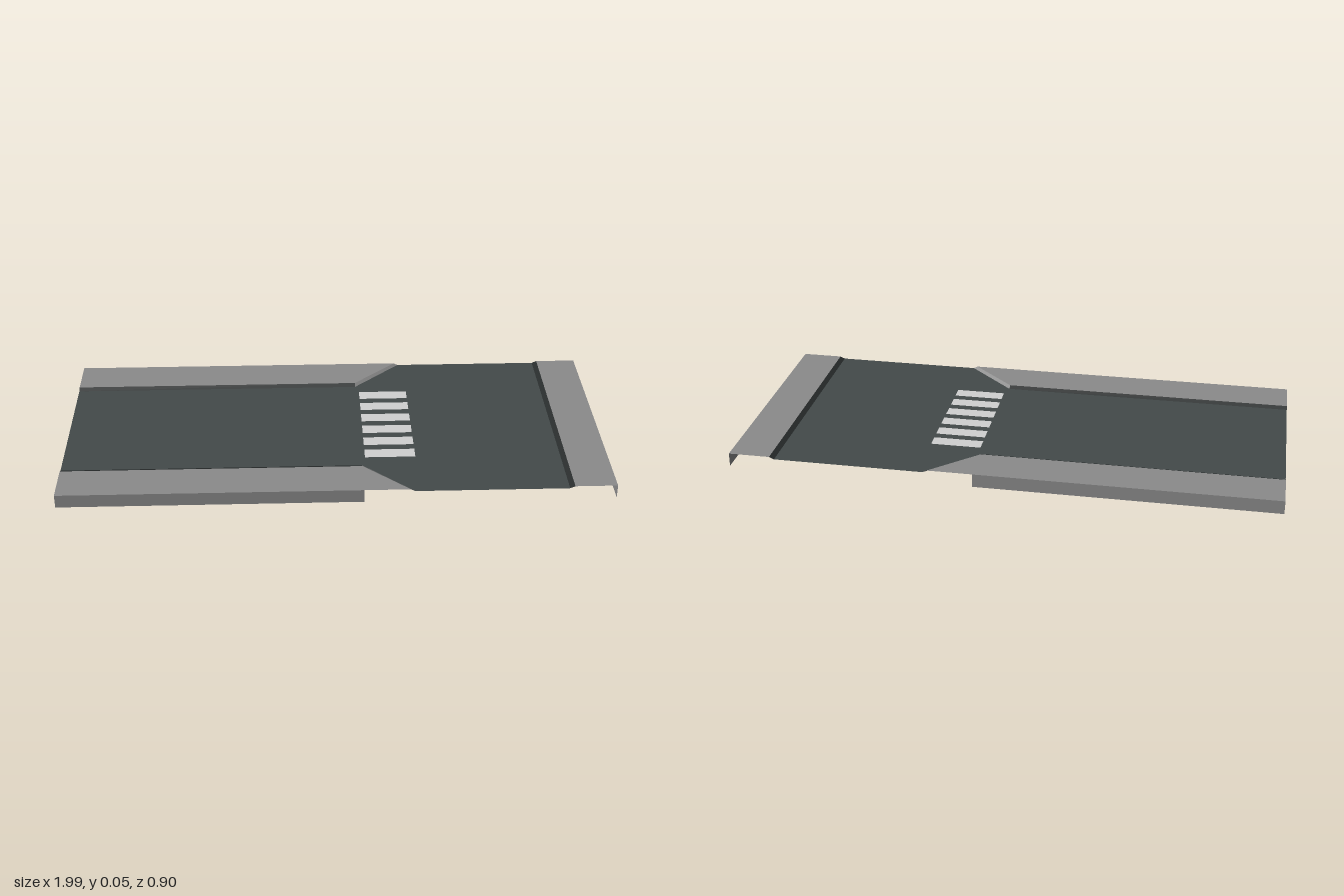
import * as THREE from 'three';

const mat = (name, color) => new THREE.MeshStandardMaterial({ name, color, side: THREE.DoubleSide });

const TOP = 0.05, ROAD = 0.042;          // pavement and road heights
const BACK = -1, FRONT = -0.1, MID = (BACK + FRONT) / 2;

export function createModel() {
  const asphalt = mat('asphalt', 0x434a4a);
  const concrete = mat('concrete', 0x8b8b8b);
  const curbDark = mat('dark curb', 0x282c2c);
  const paint = mat('white paint', 0xd0d0d0);
  const group = new THREE.Group();
  group.name = 'roadJunction';

  const add = (name, geometry, material) => {
    const mesh = new THREE.Mesh(geometry, material);
    mesh.name = name;
    group.add(mesh);
  };

  // Flat horizontal sheet from [x, z] corners
  const sheet = (name, corners, y, material) => {
    const shape = new THREE.Shape(corners.map(([x, z]) => new THREE.Vector2(x, -z)));
    add(name, new THREE.ShapeGeometry(shape).rotateX(-Math.PI / 2).translate(0, y, 0), material);
  };

  // Four-cornered face, corners in loop order
  const quad = (name, corners, material) => {
    const g = new THREE.BufferGeometry();
    g.setAttribute('position', new THREE.Float32BufferAttribute(corners.flat(), 3));
    g.setIndex([0, 1, 2, 0, 2, 3]);
    g.computeVertexNormals();
    add(name, g, material);
  };

  // Road, widening from the lane into the junction
  sheet('road', [[-1, -0.27], [0.09, -0.27], [0.27, FRONT], [0.82, FRONT],
    [0.82, BACK], [0.27, BACK], [0.09, -0.83], [-1, -0.83]], ROAD, asphalt);

  // Mirrored pavements along the lane
  for (const [side, s] of [['front', 1], ['back', -1]]) {
    const outer = MID + s * 0.45, inner = MID + s * 0.297, foot = MID + s * 0.28;
    const loop = [[-1, outer], [0.255, outer], [0.09, inner], [-1, inner]];
    sheet(side + 'Pavement', s > 0 ? loop : loop.reverse(), TOP, concrete);
    // Skirt facing outward, ending where the corner is cut
    const skirt = [[-1, 0, outer], [0.09, 0, outer], [0.09, TOP, outer], [-1, TOP, outer]];
    quad(side + 'Skirt', s > 0 ? skirt : skirt.reverse(), concrete);
    // Sloping curb beside the lane, then around the cut corner
    const curb = [[-1, TOP, inner], [0.09, TOP, inner], [0.09, ROAD, foot], [-1, ROAD, foot]];
    quad(side + 'Curb', s > 0 ? curb : curb.reverse(), curbDark);
    const corner = [[0.09, TOP, inner], [0.255, TOP, outer], [0.27, ROAD, outer], [0.09, ROAD, foot]];
    quad(side + 'CornerCurb', s > 0 ? corner : corner.reverse(), concrete);
  }

  // Pavement across the far end of the junction
  sheet('endPavement', [[0.838, FRONT], [0.99, FRONT], [0.99, BACK], [0.838, BACK]], TOP, concrete);
  quad('endSkirt', [[0.99, 0, FRONT], [0.99, 0, BACK], [0.99, TOP, BACK], [0.99, TOP, FRONT]], concrete);
  quad('endCurb', [[0.82, ROAD, FRONT], [0.838, TOP, FRONT], [0.838, TOP, BACK], [0.82, ROAD, BACK]], curbDark);

  // Crossing stripes
  for (let i = 0; i < 6; i++) {
    const z = -0.76 + i * 0.083;
    sheet('crossingStripe', [[0.103, z + 0.026], [0.288, z + 0.026], [0.288, z - 0.026], [0.103, z - 0.026]],
      ROAD + 0.002, paint);
  }
  return group;
}
